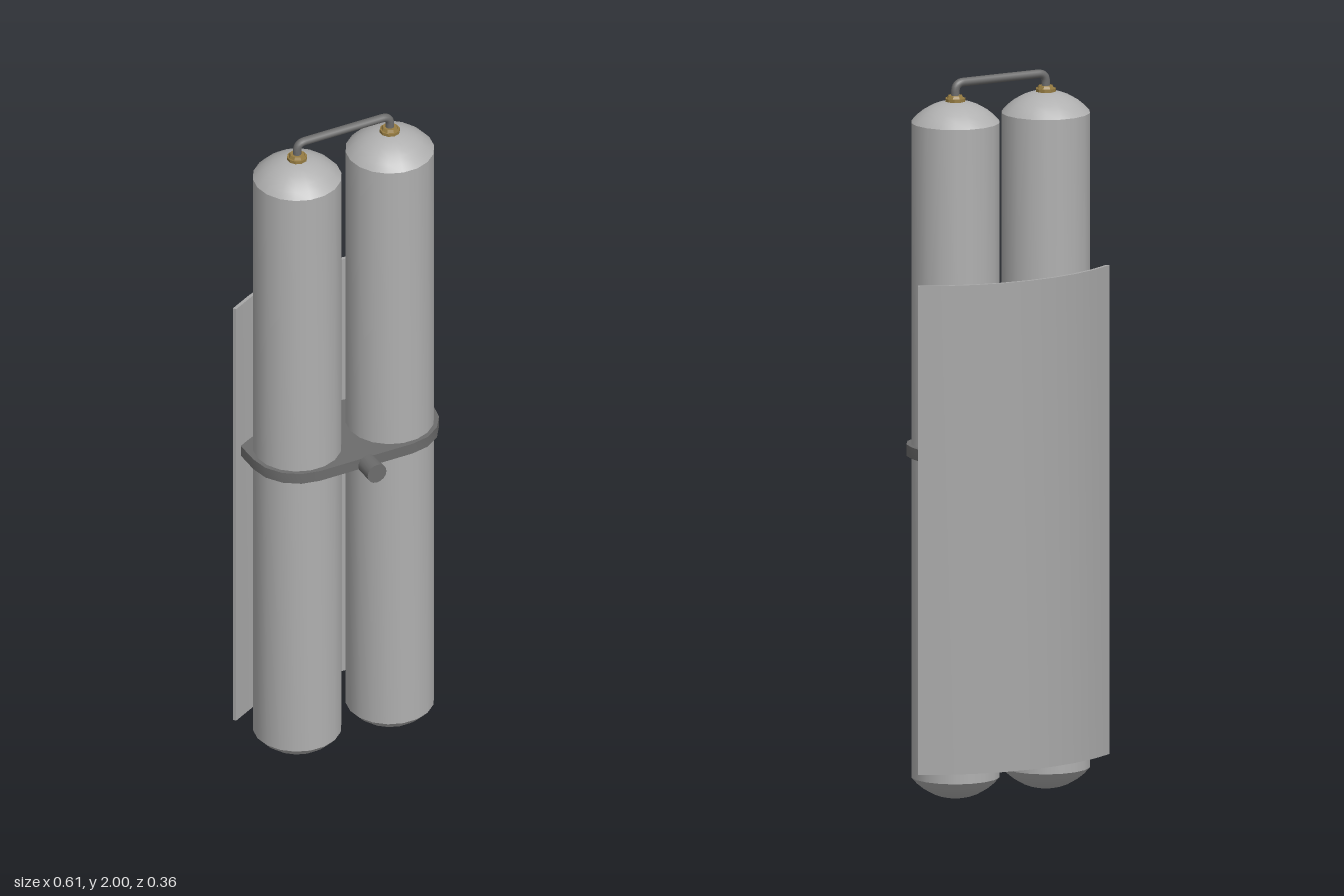
import * as THREE from 'three';
import { toCreasedNormals } from 'three/addons/utils/BufferGeometryUtils.js';

const mat = (name, color) => new THREE.MeshStandardMaterial({ name, color });

export function createModel() {
  const tankGrey = mat('tank grey', 0xb0b0b0);
  const plateGrey = mat('plate grey', 0xa8a8a8);
  const darkMetal = mat('dark metal', 0x6c6c6c);
  const brass = mat('brass', 0x967c42);

  const model = new THREE.Group();
  model.name = 'twinTankPack';
  const add = (name, geometry, material, x = 0, y = 0, z = 0) => {
    const mesh = new THREE.Mesh(geometry, material);
    mesh.name = name;
    mesh.position.set(x, y, z);
    model.add(mesh);
    return mesh;
  };

  const tankX = 0.143, tankZ = -0.02, tankR = 0.122;
  const low = 0.06, high = 1.88, rise = 0.06;

  // Tank profile: shallow spherical caps at both ends of a straight wall
  const capR = (tankR ** 2 + rise ** 2) / (2 * rise);
  const capA = Math.asin(tankR / capR);
  const profile = [];
  for (let i = 0; i <= 6; i++) {
    const a = capA * i / 6;
    profile.push(new THREE.Vector2(capR * Math.sin(a), capR * (1 - Math.cos(a))));
  }
  const top = profile.map(p => new THREE.Vector2(p.x, high + low - p.y)).reverse();
  const tankGeo = toCreasedNormals(new THREE.LatheGeometry([...profile, ...top], 18), 0.6);
  tankGeo.rotateY(Math.PI / 2);

  for (const [side, s] of [['left', 1], ['right', -1]]) {
    add(side + 'Tank', tankGeo, tankGrey, s * tankX, 0, tankZ);
    // Brass valve fitting: collar and smaller nut
    add(side + 'Collar', toCreasedNormals(new THREE.CylinderGeometry(0.028, 0.028, 0.016, 10), 0.5),
      brass, s * tankX, 1.938, tankZ);
    add(side + 'Nut', toCreasedNormals(new THREE.CylinderGeometry(0.02, 0.024, 0.008, 8), 0.5),
      brass, s * tankX, 1.95, tankZ);
  }

  // Pipe joining the two valves
  const V = (x, y) => new THREE.Vector3(x, y, tankZ);
  const pipeY = 1.988, bend = 0.025;
  const path = new THREE.CurvePath();
  path.add(new THREE.LineCurve3(V(-tankX, 1.94), V(-tankX, pipeY - bend)));
  path.add(new THREE.QuadraticBezierCurve3(V(-tankX, pipeY - bend), V(-tankX, pipeY), V(-tankX + bend, pipeY)));
  path.add(new THREE.LineCurve3(V(-tankX + bend, pipeY), V(tankX - bend, pipeY)));
  path.add(new THREE.QuadraticBezierCurve3(V(tankX - bend, pipeY), V(tankX, pipeY), V(tankX, pipeY - bend)));
  path.add(new THREE.LineCurve3(V(tankX, pipeY - bend), V(tankX, 1.94)));
  add('connectingPipe', new THREE.TubeGeometry(path, 64, 0.012, 10), darkMetal);

  // Horizontal outlines are drawn as (x, -z) and extruded upwards
  const slab = (points, height) => toCreasedNormals(
    new THREE.ExtrudeGeometry(new THREE.Shape(points), { depth: height, bevelEnabled: false })
      .rotateX(-Math.PI / 2), 0.5);
  const arcZ = 0.399, outerR = 0.577, innerR = 0.567;
  const arc = (r, half, n) => Array.from({ length: n + 1 }, (_, i) => {
    const a = -half + 2 * half * i / n;
    return new THREE.Vector2(r * Math.sin(a), r * Math.cos(a) - arcZ);
  });

  // Curved back plate
  add('backPlate', slab([...arc(outerR, 0.553, 8), ...arc(innerR, 0.553, 8).reverse()], 1.36),
    plateGrey, 0, 0.09, 0);

  // Clamp web: rounded at the front, meeting the plate at the back
  const clampR = 0.135;
  const outline = arc(innerR, Math.asin((tankX + clampR) / innerR), 8);
  for (const s of [1, -1]) {
    for (let i = 0; i <= 4; i++) {
      const a = (s > 0 ? i : 4 - i) * Math.PI / 8;
      outline.push(new THREE.Vector2(s * (tankX + clampR * Math.cos(a)), -tankZ - clampR * Math.sin(a)));
    }
  }
  add('clamp', slab(outline, 0.032), darkMetal, 0, 0.954, 0);

  // Clamp screw with its knob
  const rod = (r, length) => new THREE.CylinderGeometry(r, r, length, 16).rotateX(Math.PI / 2);
  add('screwStem', rod(0.014, 0.03), darkMetal, 0, 0.97, 0.115);
  add('screwKnob', rod(0.029, 0.055), darkMetal, 0, 0.97, 0.15);

  return model;
}
